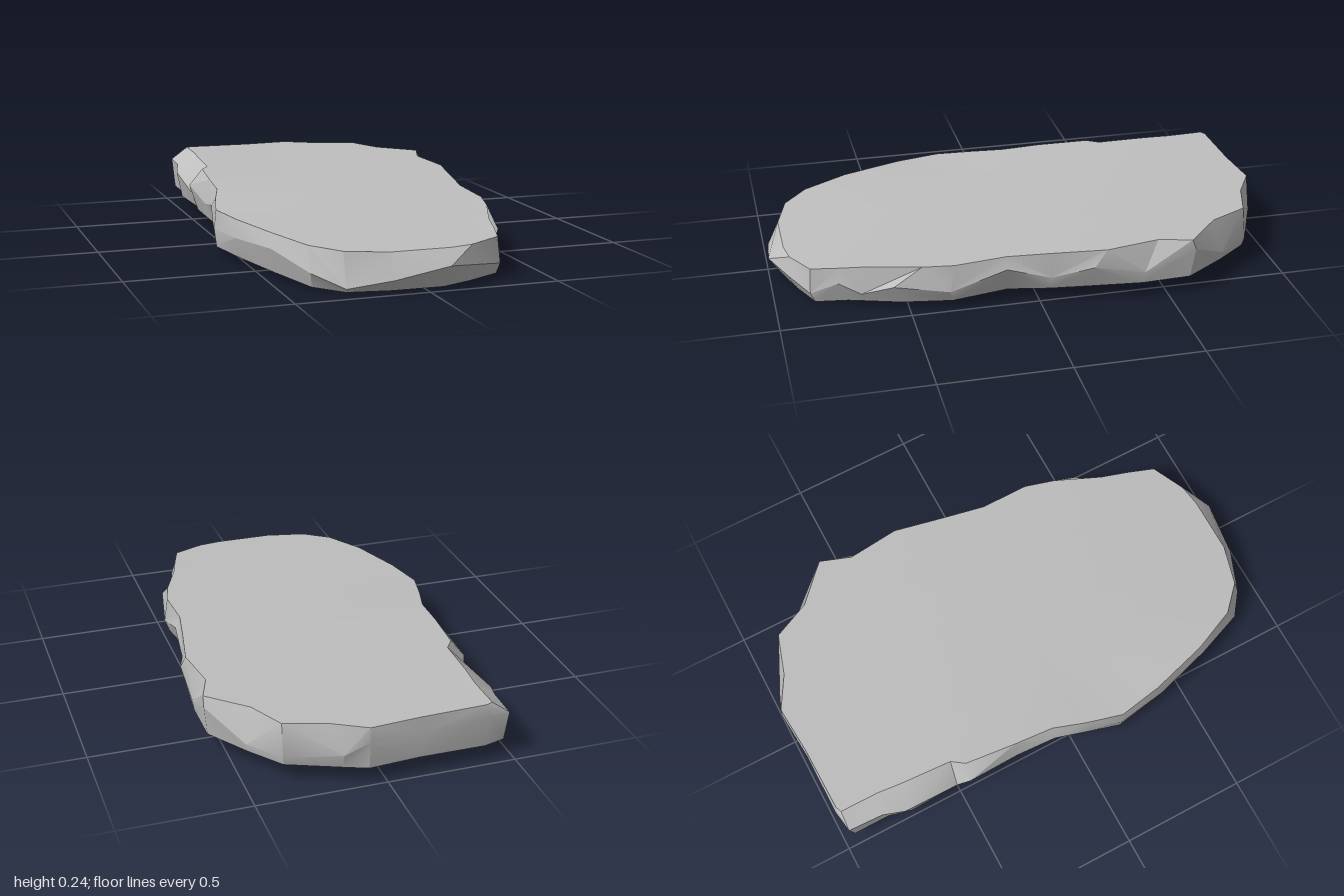
import * as THREE from 'three';
import { toCreasedNormals } from 'three/addons/utils/BufferGeometryUtils.js';

// Widest outline of the slab, x and z, clockwise from the back right corner
const OUTLINE = [
  [-.48, -.97], [-.39, -.985], [-.13, -.985], [.07, -1], [.16, -.975], [.36, -.885], [.46, -.755], [.575, -.6],
  [.57, -.4], [.565, -.2], [.52, -.04], [.505, .13], [.5, .35], [.46, .56], [.39, .675], [.37, .76],
  [.33, .865], [.2, .94], [.08, 1], [-.13, .985], [-.29, .93], [-.395, .845], [-.48, .64], [-.55, .4],
  [-.58, .2], [-.55, .06], [-.52, -.08], [-.505, -.24], [-.52, -.46], [-.5, -.51], [-.51, -.74], [-.485, -.83],
];
// Edge of the flat top at the same stations
const RIM = [
  [-.41, -.965], [-.385, -.975], [-.13, -.98], [.07, -.995], [.2, -.92], [.36, -.87], [.43, -.72], [.573, -.585],
  [.53, -.46], [.555, -.25], [.515, -.04], [.485, .13], [.49, .33], [.46, .45], [.385, .64], [.355, .75],
  [.32, .86], [.19, .925], [.1, .94], [-.13, .94], [-.29, .895], [-.39, .8], [-.47, .62], [-.54, .38],
  [-.572, .2], [-.535, .05], [-.495, -.08], [-.485, -.24], [-.465, -.45], [-.43, -.5], [-.42, -.7], [-.41, -.81],
];
// Height of the widest line, from 0 at the foot to 1 at the rim
const BELLY = [
  .7, .75, .6, .65, .35, .2, .2, .75, .3, .6, .35, .7, .3, .55, .25, .6,
  .3, .5, .65, .35, .12, .4, .65, .55, .5, .4, .6, .4, .6, .35, .6, .7,
];
// How far the underside is drawn in below the widest line
const UNDERCUT = [
  .02, .01, .01, .01, .02, .01, .01, .02, .01, .04, .02, .05, .02, .04, .02, .04,
  .02, .04, .06, .05, .02, .03, .04, .03, .01, .02, .04, .02, .04, .03, .03, .03,
];

// The slab slopes gently down towards the front
const topY = (x, z) => .203 - .05 * z - .016 * z * z + .018 * x * x
  - .018 * Math.exp(-((x + .58) ** 2 + (z - .2) ** 2) / .06);
const bottomY = (x, z) => Math.max(0, .041 - .035 * z - .01 * z * z + (x > 0 ? .035 * x * x : 0));

function slabGeometry() {
  const capRing = (points, scale, height) => points.map(([x, z]) =>
    [x * scale, height(x * scale, z * scale), z * scale]);
  const foot = OUTLINE.map(([x, z], i) => {
    const s = 1 - UNDERCUT[i] / Math.hypot(x, z);
    return [x * s, z * s];
  });
  const belly = OUTLINE.map(([x, z], i) =>
    [x, THREE.MathUtils.lerp(bottomY(x, z), topY(x, z), BELLY[i]), z]);

  // Rings run from the middle of the top, over the side, to the middle of the underside
  const rings = [
    ...[0, .4, .75, 1].map(s => capRing(RIM, s, topY)),
    belly,
    ...[1, .75, .4, 0].map(s => capRing(foot, s, bottomY)),
  ];
  const n = OUTLINE.length;
  const positions = [];
  for (let r = 0; r < rings.length - 1; r++) {
    const u = rings[r], l = rings[r + 1];
    for (let i = 0; i < n; i++) {
      const j = (i + 1) % n;
      // Alternate the diagonal so the chipped side breaks into varied facets
      const tris = r === 0 ? [u[i], l[j], l[i]]
        : r === rings.length - 2 ? [u[i], u[j], l[i]]
          : i % 2 ? [u[i], u[j], l[j], u[i], l[j], l[i]]
            : [u[i], u[j], l[i], u[j], l[j], l[i]];
      tris.forEach(p => positions.push(...p));
    }
  }
  const geometry = new THREE.BufferGeometry();
  geometry.setAttribute('position', new THREE.Float32BufferAttribute(positions, 3));
  return toCreasedNormals(geometry, Math.PI / 7);
}

export function createModel() {
  const group = new THREE.Group();
  group.name = 'stoneSlab';
  const stone = new THREE.MeshStandardMaterial({ color: 0xbebebe });
  stone.name = 'grey stone';
  const slab = new THREE.Mesh(slabGeometry(), stone);
  slab.name = 'slab';
  group.add(slab);
  return group;
}
